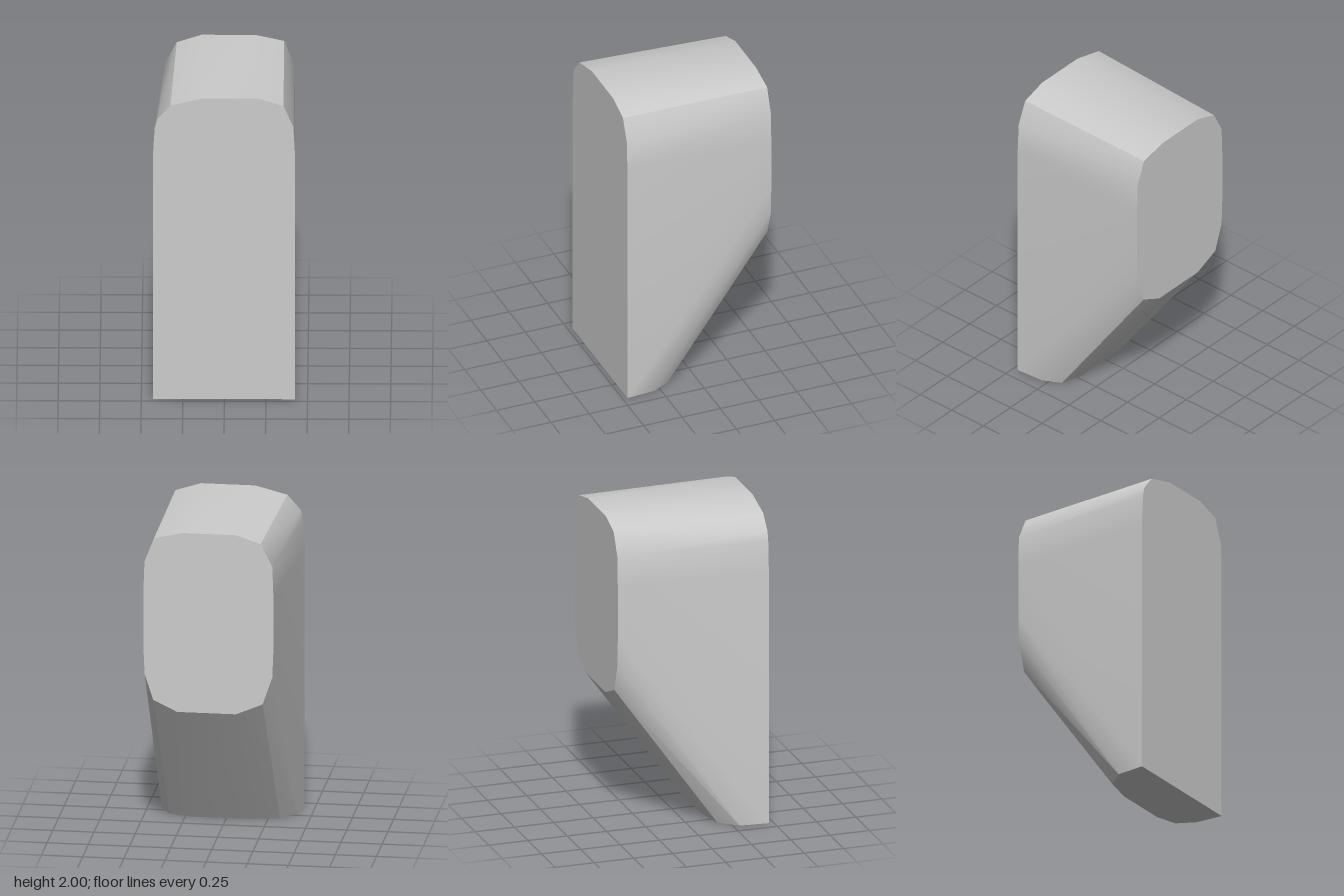
import * as THREE from 'three';
import { ConvexGeometry } from 'three/addons/geometries/ConvexGeometry.js';
import { toCreasedNormals } from 'three/addons/utils/BufferGeometryUtils.js';

const HALF_DEPTH = 0.47;

// Front outline (x, y): square foot, rounded top
const front = [
  [-0.43, 0], [-0.43, 1.62], [-0.42, 1.8], [-0.405, 1.86], [-0.325, 1.95], [-0.13, 2],
  [0.2, 2], [0.355, 1.95], [0.415, 1.81], [0.425, 1.62], [0.425, 0],
];

// Back outline (x, y): shorter, rounded on every corner
const back = [
  [-0.37, 1.26], [-0.37, 1.6], [-0.363, 1.79], [-0.292, 1.93], [-0.142, 1.98],
  [0.18, 1.98], [0.355, 1.94], [0.413, 1.79], [0.42, 1.6], [0.42, 1.26],
  [0.412, 1.08], [0.36, 0.92], [0.215, 0.85], [-0.142, 0.85], [-0.305, 0.92], [-0.363, 1.09],
];

// Rear edge of the foot (x, z), where the sloping underside starts
const foot = [
  [-0.415, 0.29], [-0.32, 0.18], [-0.13, 0.14], [0.22, 0.14], [0.355, 0.18], [0.412, 0.29],
];

export function createModel() {
  const group = new THREE.Group();
  group.name = 'taperedBlock';

  const grey = new THREE.MeshStandardMaterial({ color: 0xcccccc });
  grey.name = 'light grey';

  // Solid skin stretched over the three outlines, sharp only at the strong edges
  const points = [
    ...front.map(([x, y]) => new THREE.Vector3(x, y, HALF_DEPTH)),
    ...back.map(([x, y]) => new THREE.Vector3(x, y, -HALF_DEPTH)),
    ...foot.map(([x, z]) => new THREE.Vector3(x, 0, z)),
  ];
  const body = new THREE.Mesh(toCreasedNormals(new ConvexGeometry(points), 0.52), grey);
  body.name = 'body';
  group.add(body);

  return group;
}
